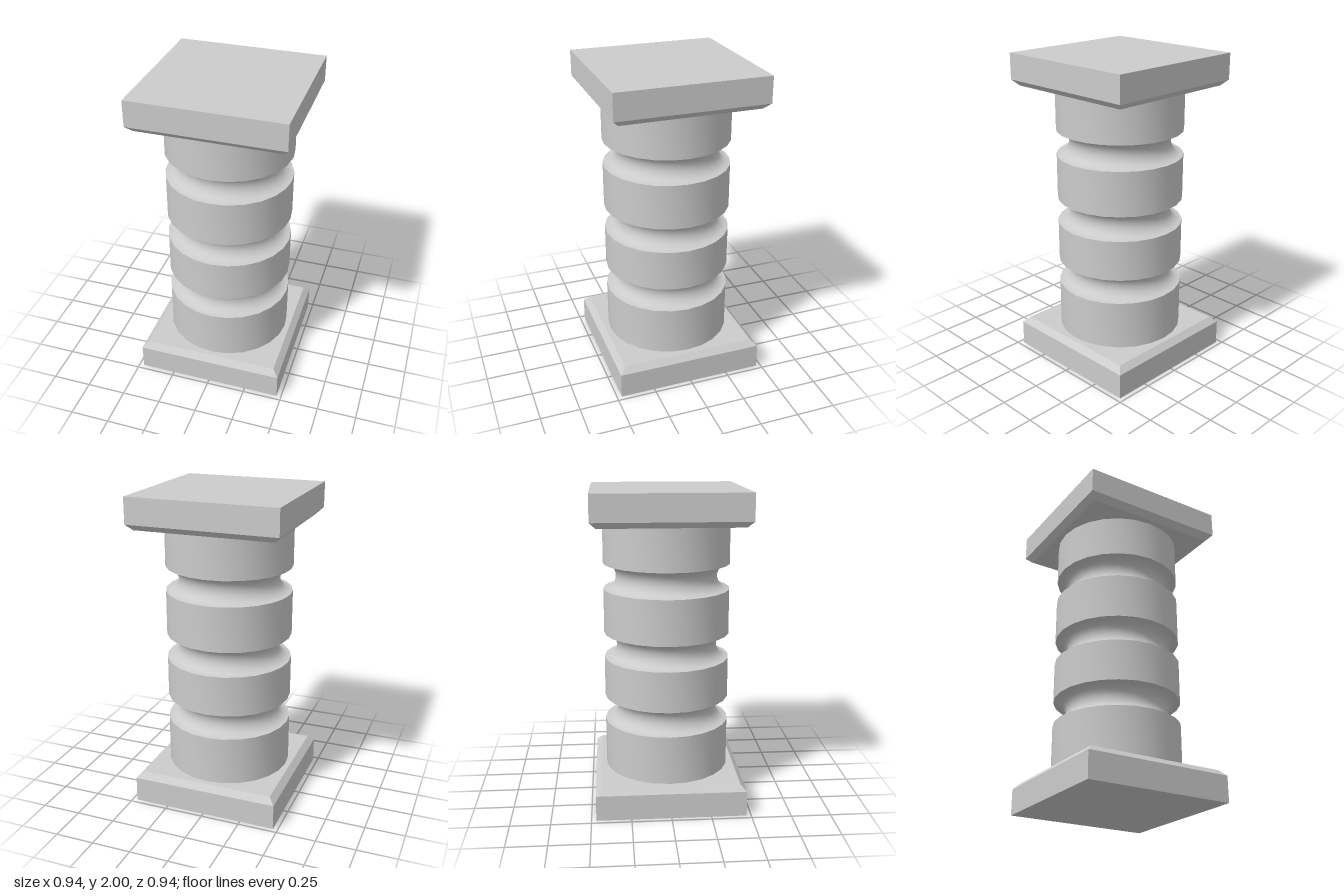
import * as THREE from 'three';
import { toCreasedNormals } from 'three/addons/utils/BufferGeometryUtils.js';

const HEIGHT = 2, SHAFT_R = 0.4, GROOVE_R = 0.08;
const GROOVES = [0.59, 1.01, 1.455];
const SLAB_HALF = 0.47, SLAB_H = 0.2, CHAMFER = 0.037;

// Square slab with a chamfered upper rim: a four-sided lathe
function slabGeometry() {
  const k = Math.SQRT2;
  const profile = [
    [0, 0],
    [SLAB_HALF * k, 0],
    [SLAB_HALF * k, SLAB_H - CHAMFER],
    [(SLAB_HALF - CHAMFER) * k, SLAB_H],
    [0, SLAB_H],
  ].map(([r, y]) => new THREE.Vector2(r, y));
  return toCreasedNormals(new THREE.LatheGeometry(profile, 4, Math.PI / 4), 0.2);
}

// Round shaft with semicircular grooves cut into it
function shaftGeometry() {
  const steps = 12;
  const profile = [new THREE.Vector2(SHAFT_R, SLAB_H)];
  for (const y of GROOVES) {
    for (let i = 0; i <= steps; i++) {
      const a = (i / steps) * Math.PI;
      profile.push(new THREE.Vector2(
        SHAFT_R - GROOVE_R * Math.sin(a),
        y - GROOVE_R * Math.cos(a)
      ));
    }
  }
  profile.push(new THREE.Vector2(SHAFT_R, HEIGHT - SLAB_H));
  return toCreasedNormals(new THREE.LatheGeometry(profile, 24), 0.7);
}

export function createModel() {
  const group = new THREE.Group();
  group.name = 'column';
  const material = new THREE.MeshStandardMaterial({ color: 0xcccccc });

  const add = (name, geometry) => {
    const mesh = new THREE.Mesh(geometry, material);
    mesh.name = name;
    group.add(mesh);
    return mesh;
  };

  add('basePlinth', slabGeometry());
  add('groovedShaft', shaftGeometry());

  // The capital is the plinth turned upside down
  const capital = add('capital', slabGeometry());
  capital.rotation.x = Math.PI;
  capital.position.y = HEIGHT;

  return group;
}
